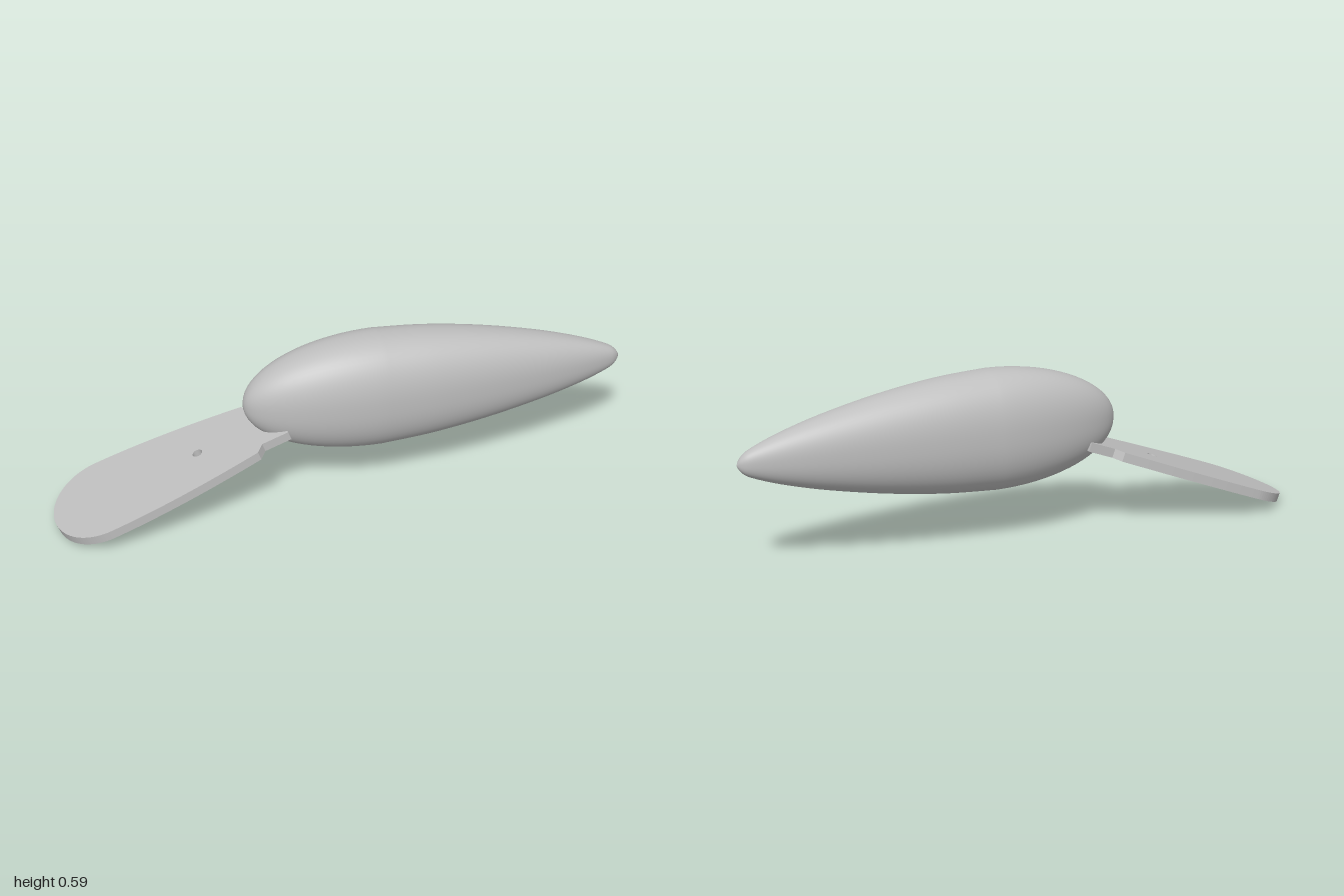
import * as THREE from 'three';
import { mergeVertices } from 'three/addons/utils/BufferGeometryUtils.js';

const grey = new THREE.MeshStandardMaterial({ color: 0xbfbfbf });
grey.name = 'plain grey';

// Teardrop body: a lathe laid along x, its round sections reshaped into tall rounded ovals
function createBody() {
  const profile = [];
  // blunt elliptical end up to the widest section
  for (let i = 0; i <= 20; i++) {
    const a = (i / 20) * Math.PI / 2;
    profile.push(new THREE.Vector2(0.207 * Math.sin(a), 0.12 - 0.46 * Math.cos(a)));
  }
  // long taper to the tip
  const taper = new THREE.SplineCurve([
    [0.207, 0.12], [0.195, 0.3], [0.167, 0.5], [0.126, 0.7],
    [0.085, 0.85], [0.048, 0.95], [0.025, 0.985], [0, 1],
  ].map(([r, x]) => new THREE.Vector2(r, x)));
  profile.push(...taper.getPoints(48).slice(1));
  profile[0].x = profile[profile.length - 1].x = 0;

  let geo = new THREE.LatheGeometry(profile, 64);
  geo.rotateZ(-Math.PI / 2);
  const p = geo.attributes.position;
  const power = 2.35;
  for (let i = 0; i < p.count; i++) {
    const x = p.getX(i), y = p.getY(i), z = p.getZ(i);
    const r = Math.hypot(y, z) || 1;
    const k = (Math.abs(y / r) ** power + Math.abs(z / r) ** power) ** (-1 / power);
    p.setXYZ(i, x, 0.379 - 0.018 * x * x + y * k, z * k * 0.715);
  }
  // weld the seam for smooth normals all round
  geo.deleteAttribute('uv');
  geo.deleteAttribute('normal');
  geo = mergeVertices(geo, 1e-5);
  geo.computeVertexNormals();
  const body = new THREE.Mesh(geo, grey);
  body.name = 'body';
  return body;
}

// Sloping paddle: rounded end, tapering sides, narrow tongue set into the body, small hole
function createPaddle() {
  const s = new THREE.Shape();
  s.moveTo(0.18, -0.193);
  s.bezierCurveTo(0.36, -0.193, 0.55, -0.168, 0.722, -0.137);
  s.lineTo(0.745, -0.105);
  s.lineTo(0.84, -0.105);
  s.lineTo(0.84, 0.105);
  s.lineTo(0.745, 0.105);
  s.lineTo(0.722, 0.137);
  s.bezierCurveTo(0.55, 0.168, 0.36, 0.193, 0.18, 0.193);
  s.absellipse(0.18, 0, 0.18, 0.193, Math.PI / 2, Math.PI * 1.5, false, 0);
  const hole = new THREE.Path();
  hole.absarc(0.53, 0, 0.017, 0, Math.PI * 2, true);
  s.holes.push(hole);

  const geo = new THREE.ExtrudeGeometry(s, { depth: 0.032, bevelEnabled: false, curveSegments: 28 });
  geo.rotateX(-Math.PI / 2);
  geo.rotateZ(THREE.MathUtils.degToRad(20));
  const paddle = new THREE.Mesh(geo, grey);
  paddle.name = 'paddle';
  paddle.position.set(-0.989, 0, 0);
  return paddle;
}

export function createModel() {
  const model = new THREE.Group();
  model.name = 'divingLure';
  model.add(createBody(), createPaddle());
  return model;
}
